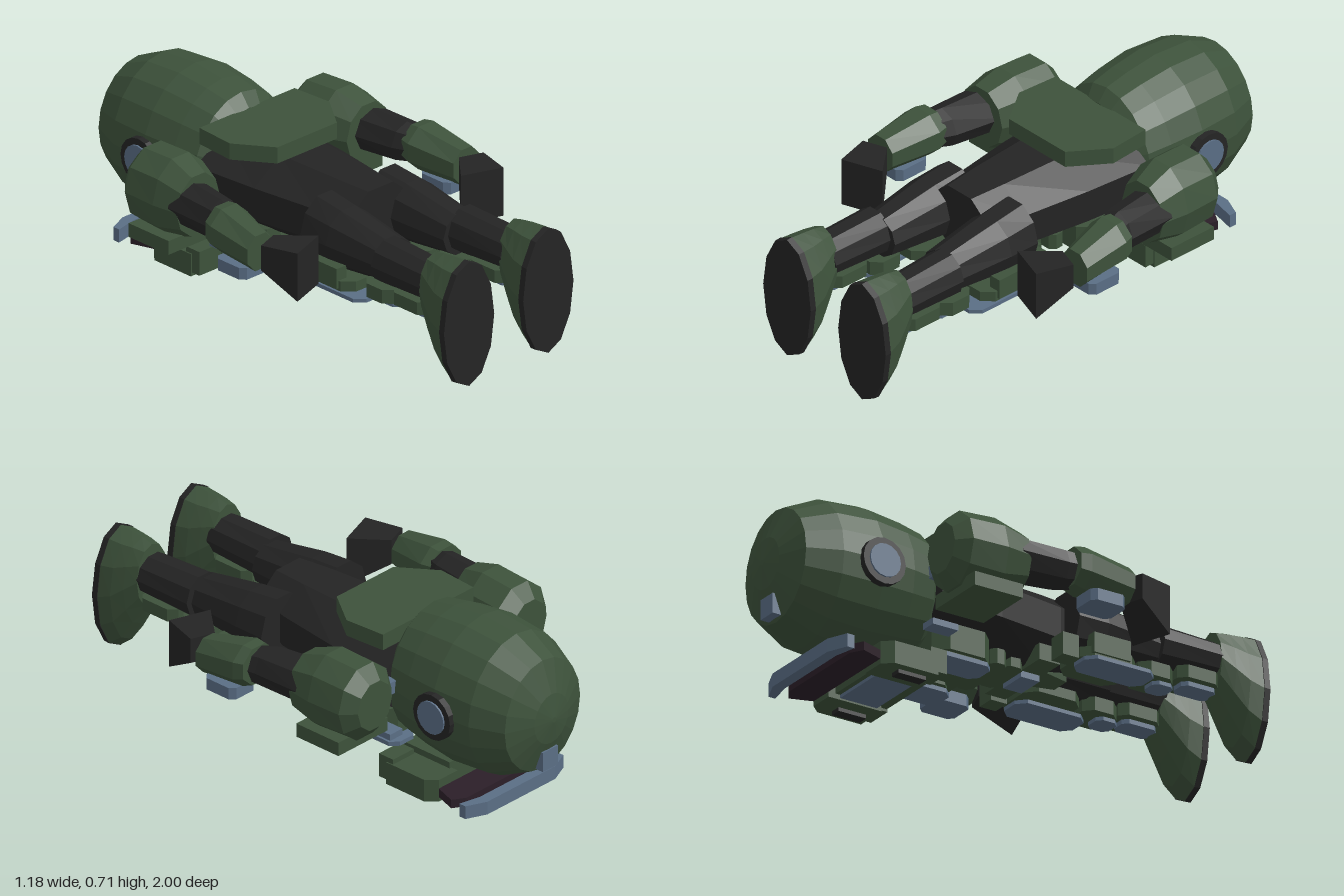
import * as THREE from 'three';

const mat = (name, color) => {
  const m = new THREE.MeshStandardMaterial({ color });
  m.name = name;
  return m;
};

export function createModel() {
  const model = new THREE.Group();
  model.name = 'lyingArmouredFigure';
  const green = mat('armourGreen', 0x3d523b);
  const black = mat('suitBlack', 0x242424);
  const blue = mat('trimBlue', 0x5a6e85);
  const plum = mat('visorPlum', 0x2b1f28);

  // adds a faceted mesh
  const add = (name, geometry, material) => {
    const g = geometry.index ? geometry.toNonIndexed() : geometry;
    g.computeVertexNormals();
    const mesh = new THREE.Mesh(g, material);
    mesh.name = name;
    model.add(mesh);
    return mesh;
  };

  // closed body through elliptical rings [x, y, z, rx, ry], z rising;
  // half turns the ring so that it has flat sides, tilt slants the rings in z
  const loft = (name, material, rings, n = 10, half = false, tilt = 0) => {
    const pos = [], idx = [];
    const k = half ? 1 / Math.cos(Math.PI / n) : 1;
    for (const [cx, cy, z, rx, ry] of rings) {
      for (let i = 0; i < n; i++) {
        const a = ((i + (half ? 0.5 : 0)) / n) * Math.PI * 2;
        const dx = Math.cos(a) * rx * k;
        pos.push(cx + dx, cy + Math.sin(a) * ry * k, z + dx * tilt);
      }
    }
    const last = (rings.length - 1) * n;
    for (let r = 0; r < last; r += n) {
      for (let i = 0; i < n; i++) {
        const a = r + i, b = r + ((i + 1) % n);
        idx.push(a, b, b + n, a, b + n, a + n);
      }
    }
    for (let i = 1; i < n - 1; i++) idx.push(0, i + 1, i, last, last + i, last + i + 1);
    const g = new THREE.BufferGeometry();
    g.setAttribute('position', new THREE.Float32BufferAttribute(pos, 3));
    g.setIndex(idx);
    return add(name, g, material);
  };

  // box given by its ranges
  const box = (name, material, x0, x1, y0, y1, z0, z1) =>
    add(name, new THREE.BoxGeometry(Math.abs(x1 - x0), y1 - y0, z1 - z0)
      .translate((x0 + x1) / 2, (y0 + y1) / 2, (z0 + z1) / 2), material);

  // flat plate with an outline in x and z
  const plate = (name, material, outline, y0, y1, s = 1) => {
    const shape = new THREE.Shape(outline.map(([x, z]) => new THREE.Vector2(x * s, z)));
    const g = new THREE.ExtrudeGeometry(shape, { depth: y1 - y0, bevelEnabled: false });
    return add(name, g.rotateX(Math.PI / 2).translate(0, y1, 0), material);
  };

  // plate with cut corners
  const cutPlate = (name, material, x0, x1, y0, y1, z0, z1, c, s = 1) =>
    plate(name, material, [[x0 + c, z0], [x1 - c, z0], [x1, z0 + c], [x1, z1 - c],
      [x1 - c, z1], [x0 + c, z1], [x0, z1 - c], [x0, z0 + c]], y0, y1, s);

  // helmet
  const helmet = [[-1, 0.01], [-0.985, 0.09], [-0.94, 0.2], [-0.81, 0.255], [-0.64, 0.267],
    [-0.5, 0.253], [-0.4, 0.235], [-0.36, 0.19]];
  loft('helmet', green, helmet.map(([z, r]) => [0, 0.41, z, r, r * 1.125]), 20);
  box('foreheadLamp', blue, -0.04, 0.04, 0.2, 0.28, -0.98, -0.92);

  // visor and face guard
  plate('visor', plum, [[-0.2, -0.75], [0.2, -0.75], [0.25, -0.72], [0.22, -0.63],
    [-0.22, -0.63], [-0.25, -0.72]], 0.035, 0.07);
  plate('visorBrow', blue, [[-0.18, -0.835], [0.18, -0.835], [0.26, -0.8], [0.26, -0.77],
    [0.17, -0.79], [-0.17, -0.79], [-0.26, -0.77], [-0.26, -0.8]], 0.025, 0.078);
  box('chinGuard', green, -0.13, 0.13, 0.035, 0.13, -0.6, -0.37);
  box('chinTrim', blue, -0.12, 0.12, 0.022, 0.035, -0.58, -0.42);

  // torso, back plate and hips
  loft('torso', black, [[0, 0.4, -0.38, 0.25, 0.155], [0, 0.4, -0.1, 0.225, 0.155],
    [0, 0.4, 0.18, 0.185, 0.15], [0, 0.42, 0.33, 0.15, 0.125]], 8, true);
  plate('backPlate', green, [[-0.24, -0.37], [0.24, -0.37], [0.252, -0.2], [0.15, -0.055],
    [-0.15, -0.055], [-0.252, -0.2]], 0.555, 0.62);

  // chest, belly and belt plates
  cutPlate('chestPlate', green, -0.2, 0.2, 0.165, 0.27, -0.36, -0.11, 0.05);
  cutPlate('upperBellyPlate', green, -0.13, 0.13, 0.2, 0.26, -0.08, -0.01, 0.02);
  cutPlate('lowerBellyPlate', green, -0.1, 0.1, 0.22, 0.27, 0.0, 0.08, 0.02);
  box('belt', green, -0.18, 0.18, 0.235, 0.3, 0.09, 0.18);
  box('beltBuckle', blue, -0.06, 0.06, 0.21, 0.235, 0.09, 0.17);
  plate('groinPlate', green, [[-0.07, 0.18], [0.07, 0.18], [0.04, 0.3], [-0.04, 0.3]], 0.25, 0.29);

  for (const s of [1, -1]) {
    // ears
    const ear = (name, m, r, x0, x1) => add(name, new THREE.CylinderGeometry(r, r, x1 - x0, 16)
      .rotateZ(Math.PI / 2).translate(s * (x0 + x1) / 2, 0.4, -0.65), m);
    ear('earRing', black, 0.092, 0.23, 0.28);
    ear('earDisc', blue, 0.066, 0.25, 0.287);

    // cheeks and vents
    plate('cheekGuard', green, [[0.12, -0.63], [0.22, -0.63], [0.255, -0.59],
      [0.255, -0.4], [0.12, -0.4]], 0.015, 0.105, s);
    box('cheekHinge', green, s * 0.14, s * 0.25, 0.03, 0.125, -0.43, -0.36);
    box('cheekVent', black, s * 0.175, s * 0.22, 0, 0.016, -0.55, -0.43);

    // chest trim and collar
    cutPlate('chestTrim', blue, 0.07, 0.2, 0.135, 0.152, -0.39, -0.12, 0.03, s);
    cutPlate('chestPad', green, 0.05, 0.18, 0.152, 0.17, -0.34, -0.14, 0.03, s);
    box('collarTrim', blue, s * 0.2, s * 0.265, 0.21, 0.235, -0.43, -0.32);
    box('collarClip', blue, s * 0.23, s * 0.275, 0.4, 0.45, -0.43, -0.32);

    // shoulder
    loft('shoulder', green, [[s * 0.41, 0.44, -0.49, 0.09, 0.1], [s * 0.41, 0.44, -0.44, 0.14, 0.155],
      [s * 0.415, 0.44, -0.29, 0.14, 0.163], [s * 0.43, 0.44, -0.18, 0.11, 0.125]], 10);
    box('shoulderPlate', green, s * 0.28, s * 0.54, 0.26, 0.315, -0.43, -0.22);

    // arm and hand
    loft('upperArm', black, [[s * 0.45, 0.45, -0.22, 0.095, 0.085], [s * 0.47, 0.45, -0.02, 0.08, 0.08],
      [s * 0.49, 0.45, 0.05, 0.07, 0.07]], 8);
    loft('forearm', green, [[s * 0.495, 0.455, 0.01, 0.082, 0.075], [s * 0.498, 0.45, 0.05, 0.093, 0.085],
      [s * 0.52, 0.425, 0.24, 0.065, 0.07]], 8, true);
    cutPlate('wristTrim', blue, 0.45, 0.58, 0.315, 0.362, 0.06, 0.21, 0.02, s);
    loft('hand', black, [[s * 0.515, 0.43, 0.27, 0.047, 0.05], [s * 0.44, 0.387, 0.405, 0.08, 0.097]],
      4, true, s * 0.35);

    // leg
    loft('thigh', black, [[s * 0.16, 0.4, 0.2, 0.12, 0.135], [s * 0.165, 0.4, 0.33, 0.115, 0.12],
      [s * 0.165, 0.39, 0.58, 0.09, 0.085]], 10);
    loft('shin', black, [[s * 0.19, 0.4, 0.57, 0.092, 0.09], [s * 0.195, 0.4, 0.84, 0.085, 0.078]], 10);

    // boot with long sole
    loft('boot', green, [[s * 0.2, 0.39, 0.82, 0.08, 0.13], [s * 0.2, 0.35, 0.87, 0.1, 0.18],
      [s * 0.2, 0.31, 0.92, 0.117, 0.225], [s * 0.2, 0.29, 0.975, 0.125, 0.25]], 12);
    loft('sole', black, [[s * 0.2, 0.29, 0.975, 0.128, 0.252], [s * 0.2, 0.29, 1, 0.127, 0.25]], 12);

    // hip pouch, thigh and shin armour
    box('hipPouch', green, s * 0.2, s * 0.275, 0.23, 0.32, 0.13, 0.2);
    cutPlate('thighPlate', green, 0.08, 0.29, 0.25, 0.29, 0.22, 0.46, 0.04, s);
    box('thighSidePlate', green, s * 0.25, s * 0.3, 0.26, 0.34, 0.25, 0.41);
    cutPlate('thighTrim', blue, 0.16, 0.3, 0.235, 0.25, 0.23, 0.53, 0.035, s);
    cutPlate('kneePlate', green, 0.11, 0.26, 0.255, 0.31, 0.49, 0.64, 0.035, s);
    cutPlate('kneeTrim', blue, 0.14, 0.23, 0.24, 0.255, 0.56, 0.65, 0.02, s);
    cutPlate('shinPlate', green, 0.12, 0.27, 0.28, 0.33, 0.65, 0.83, 0.03, s);
    cutPlate('shinTrim', blue, 0.15, 0.24, 0.262, 0.28, 0.68, 0.83, 0.02, s);
  }
  return model;
}
